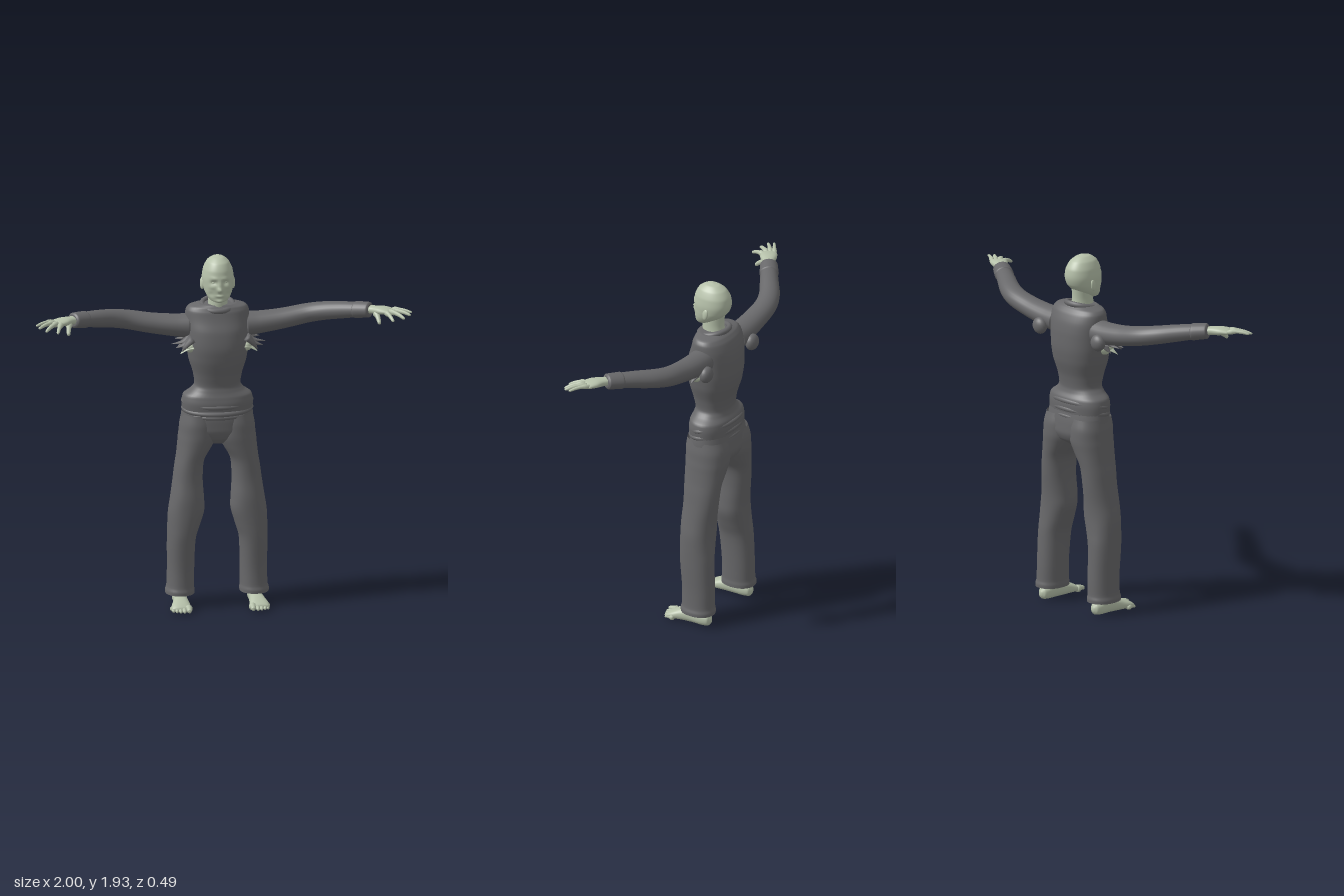
import * as THREE from 'three';

const X = new THREE.Vector3(1, 0, 0), Y = new THREE.Vector3(0, 1, 0);

const skin = new THREE.MeshStandardMaterial({ color: 0xb6c1aa });
skin.name = 'pale skin';
const cloth = new THREE.MeshStandardMaterial({ color: 0x68686a, side: THREE.DoubleSide });
cloth.name = 'grey cloth';

// Smooth skin over oval rings: each section is [x, y, z, radius along ref, radius across].
function loft(sections, ref, { seg = 24, steps = 24, power = 2, caps = true, axis = null } = {}) {
  const path = new THREE.CatmullRomCurve3(sections.map(s => new THREE.Vector3(s[0], s[1], s[2])));
  const radii = new THREE.CatmullRomCurve3(sections.map(s => new THREE.Vector3(s[3], s[4], 0)));
  const pos = [], idx = [], e = 2 / power;
  const bend = c => Math.sign(c) * Math.pow(Math.abs(c), e);
  for (let i = 0; i <= steps; i++) {
    const k = i / steps, p = path.getPoint(k), r = radii.getPoint(k);
    const t = axis || path.getTangent(k);
    const v = t.clone().cross(ref).normalize(), u = v.clone().cross(t).normalize();
    for (let j = 0; j < seg; j++) {
      const a = j / seg * Math.PI * 2;
      const q = p.clone().addScaledVector(u, r.x * bend(Math.cos(a))).addScaledVector(v, r.y * bend(Math.sin(a)));
      pos.push(q.x, q.y, q.z);
      if (i < steps) {
        const m = i * seg + j, n = i * seg + (j + 1) % seg;
        idx.push(m, n, m + seg, n, n + seg, m + seg);
      }
    }
  }
  if (caps) {
    const c = pos.length / 3, last = steps * seg;
    for (const k of [0, 1]) pos.push(...path.getPoint(k).toArray());
    for (let j = 0; j < seg; j++) {
      const n = (j + 1) % seg;
      idx.push(c, n, j, c + 1, last + j, last + n);
    }
  }
  const g = new THREE.BufferGeometry();
  g.setAttribute('position', new THREE.Float32BufferAttribute(pos, 3));
  g.setIndex(idx);
  g.computeVertexNormals();
  return g;
}

// Upright form from rows of [y, left x, right x, front z, back z].
const upright = (rows, opts) => loft(
  rows.map(([y, a, b, f, k]) => [(a + b) / 2, y, (f + k) / 2, (b - a) / 2, (f - k) / 2]), X, { axis: Y, ...opts });
const centred = rows => rows.map(([y, r, f, k]) => [y, -r, r, f, k]);

// Closed cloth roll around the body; drop lowers its front and lifts its back.
function roll(y, rx, front, back, r, drop) {
  const pts = [];
  for (let i = 0; i < 24; i++) {
    const a = i / 24 * Math.PI * 2;
    pts.push(new THREE.Vector3(rx * Math.cos(a), y - drop * Math.sin(a),
      (front + back) / 2 + (front - back) / 2 * Math.sin(a)));
  }
  return new THREE.TubeGeometry(new THREE.CatmullRomCurve3(pts, true), 72, r, 10, true);
}

// Tapered digit with a raised middle joint and a rounded tip.
function digit(a, b, r, lift) {
  const at = (k, up, w) => [...a.map((v, i) => v + (b[i] - v) * k + (i === 1 ? up : 0)), r * w, r * w];
  return loft([at(0, 0, 1), at(0.35, lift, 1), at(0.7, lift * 0.8, 0.85), at(0.94, 0, 0.65), at(1, 0, 0.15)],
    Y, { seg: 10, steps: 14 });
}

function headGeometry() {
  const g = upright(centred([
    [1.925, 0.004, -0.08, -0.09], [1.918, 0.03, -0.045, -0.125], [1.895, 0.058, -0.01, -0.162],
    [1.855, 0.077, 0.01, -0.187], [1.81, 0.084, 0.016, -0.191], [1.77, 0.081, 0.015, -0.178],
    [1.74, 0.074, 0.013, -0.15], [1.715, 0.062, 0.01, -0.115], [1.695, 0.045, 0.004, -0.08],
    [1.682, 0.012, -0.015, -0.045]]).reverse(), { seg: 72, steps: 64, power: 2.15 });
  // Face relief: [x, y, spread x, spread y, push forward]
  const relief = [[0, 1.76, 0.011, 0.013, 0.02], [0, 1.785, 0.009, 0.022, 0.01], [0.031, 1.799, 0.016, 0.011, -0.012],
    [0.028, 1.822, 0.022, 0.008, 0.004], [0, 1.726, 0.02, 0.007, 0.008], [0, 1.695, 0.022, 0.012, 0.01],
    [0.045, 1.775, 0.014, 0.01, 0.004], [0.045, 1.735, 0.014, 0.014, -0.005]];
  const p = g.attributes.position;
  for (let i = 0; i < p.count; i++) {
    if (p.getZ(i) < -0.06) continue;
    let z = p.getZ(i);
    for (const [x, y, sx, sy, d] of relief)
      z += d * Math.exp(-(((Math.abs(p.getX(i)) - x) / sx) ** 2) - ((p.getY(i) - y) / sy) ** 2);
    p.setZ(i, z);
  }
  g.computeVertexNormals();
  return g;
}

export function createModel() {
  const model = new THREE.Group();
  model.name = 'figure';
  const add = (name, geometry, material) => {
    const mesh = new THREE.Mesh(geometry, material);
    mesh.name = name;
    model.add(mesh);
    return mesh;
  };
  const ball = (name, material, at, size) => {
    const m = add(name, new THREE.SphereGeometry(1, 20, 14), material);
    m.position.set(...at);
    m.scale.set(...size);
    return m;
  };

  // Head and neck
  add('head', headGeometry(), skin);
  add('neck', upright(centred([[1.59, 0.075, -0.03, -0.17], [1.64, 0.055, -0.03, -0.158],
    [1.69, 0.05, -0.03, -0.152], [1.75, 0.05, -0.04, -0.155]])), skin);

  // Shirt with pinched waist, collar and bunched hem
  add('shirt', upright(centred([
    [1.075, 0.186, 0, -0.225], [1.12, 0.189, 0.004, -0.225], [1.16, 0.182, -0.002, -0.218],
    [1.188, 0.145, -0.01, -0.203], [1.22, 0.122, -0.013, -0.198], [1.28, 0.13, 0, -0.207],
    [1.36, 0.154, 0.02, -0.23], [1.44, 0.165, 0.028, -0.24], [1.52, 0.168, 0.018, -0.238],
    [1.58, 0.17, -0.003, -0.228], [1.625, 0.167, -0.015, -0.21], [1.648, 0.15, -0.025, -0.192],
    [1.662, 0.095, -0.035, -0.175]]), { seg: 48, steps: 60, power: 2.3 }), cloth);
  add('collar', roll(1.652, 0.082, -0.02, -0.175, 0.015, 0.018), cloth);
  add('hemFold', roll(1.125, 0.178, -0.005, -0.214, 0.014, 0.018), cloth);
  add('waistRoll', roll(1.085, 0.177, -0.002, -0.215, 0.015, 0.015), cloth);
  add('waistband', roll(1.057, 0.178, -0.003, -0.219, 0.012, 0.006), cloth);

  // Seat of the trousers
  add('trouserSeat', upright(centred([
    [0.895, 0.05, -0.06, -0.17], [0.93, 0.14, -0.02, -0.222], [0.98, 0.19, -0.002, -0.238],
    [1.03, 0.192, 0, -0.234], [1.1, 0.184, -0.004, -0.222]]), { seg: 40, power: 2.3 }), cloth);

  for (const s of [1, -1]) {
    const side = s > 0 ? 'left' : 'right';
    const flip = rows => rows.map(([x, ...rest]) => [s * x, ...rest]);
    const m = ([x, y, z]) => [s * x, y, z];

    // Ear and eye
    const ear = ball(side + 'Ear', skin, [s * 0.083, 1.772, -0.092], [0.01, 0.032, 0.019]);
    ear.rotation.set(-0.2, s * -0.3, 0);
    ball(side + 'Eye', skin, [s * 0.031, 1.799, -0.009], [0.013, 0.009, 0.011]);

    // Trouser leg, open at the cuff
    const leg = [[0.07, 0.12, 0.275, -0.028, -0.218], [0.085, 0.12, 0.275, -0.027, -0.219],
      [0.11, 0.123, 0.268, -0.032, -0.214], [0.2, 0.122, 0.265, -0.032, -0.213],
      [0.37, 0.115, 0.266, -0.018, -0.206], [0.45, 0.092, 0.265, -0.014, -0.2],
      [0.53, 0.07, 0.261, -0.012, -0.197], [0.6, 0.072, 0.25, -0.012, -0.2],
      [0.7, 0.078, 0.235, -0.018, -0.212], [0.8, 0.07, 0.221, -0.015, -0.222],
      [0.88, 0.027, 0.211, -0.007, -0.234], [0.94, 0, 0.205, -0.002, -0.242],
      [1.0, 0, 0.199, -0.001, -0.241], [1.06, 0.005, 0.187, -0.008, -0.226]];
    add(side + 'TrouserLeg', upright(leg.map(([y, a, b, f, k]) => s > 0 ? [y, a, b, f, k] : [y, -b, -a, f, k]),
      { seg: 32, steps: 60, power: 2.2, caps: false }), cloth);

    // Bare foot with ankle and five toes
    add(side + 'Ankle', upright([[0.02, s * 0.2 - 0.03, s * 0.2 + 0.03, -0.1, -0.195],
      [0.07, s * 0.2 - 0.036, s * 0.2 + 0.036, -0.085, -0.188],
      [0.16, s * 0.2 - 0.038, s * 0.2 + 0.038, -0.085, -0.18]]), skin);
    add(side + 'Foot', loft(flip([[0.2, 0.034, -0.206, 0.008, 0.01], [0.2, 0.034, -0.193, 0.028, 0.03],
      [0.2, 0.037, -0.15, 0.036, 0.037], [0.2, 0.038, -0.09, 0.036, 0.038], [0.203, 0.033, -0.03, 0.043, 0.033],
      [0.207, 0.025, 0.015, 0.052, 0.023], [0.207, 0.018, 0.042, 0.05, 0.015], [0.207, 0.016, 0.05, 0.03, 0.006]]),
      X, { power: 2.3, steps: 30 }), skin);
    [[0.17, 0.08, 0.016], [0.195, 0.078, 0.012], [0.215, 0.072, 0.011], [0.234, 0.063, 0.011], [0.251, 0.052, 0.011]]
      .forEach(([x, z, r], i) => add(`${side}Toe${i + 1}`,
        digit([s * x, r + 0.003, z - 0.055], [s * x, r, z], r, 0.004), skin));

    // Sleeve bending forward at the elbow, with a rolled cuff
    add(side + 'Sleeve', loft(flip([[0.15, 1.535, -0.115, 0.066, 0.072], [0.22, 1.54, -0.116, 0.06, 0.07],
      [0.35, 1.557, -0.115, 0.054, 0.065], [0.48, 1.583, -0.108, 0.051, 0.06], [0.56, 1.6, -0.079, 0.049, 0.056],
      [0.66, 1.62, -0.015, 0.045, 0.05], [0.75, 1.635, 0.045, 0.038, 0.044], [0.78, 1.638, 0.064, 0.034, 0.04]]),
      Y, { steps: 48 }), cloth);
    add(side + 'Cuff', loft(flip([[0.713, 1.63, 0.02, 0.036, 0.042], [0.722, 1.631, 0.026, 0.045, 0.051],
      [0.755, 1.636, 0.048, 0.043, 0.049], [0.785, 1.64, 0.068, 0.041, 0.047], [0.793, 1.641, 0.073, 0.03, 0.036]]),
      Y, { steps: 20 }), cloth);
    ball(side + 'ShoulderBunch', cloth, [s * 0.222, 1.505, -0.19], [0.045, 0.045, 0.033]);

    // Hand
    add(side + 'Palm', loft(flip([[0.77, 1.64, 0.06, 0.022, 0.027], [0.81, 1.645, 0.086, 0.021, 0.032],
      [0.85, 1.648, 0.112, 0.02, 0.045], [0.885, 1.647, 0.133, 0.015, 0.044], [0.9, 1.645, 0.142, 0.007, 0.03]]),
      Y, { power: 2.3 }), skin);
    [['Thumb', [0.815, 1.635, 0.105], [0.828, 1.592, 0.18], 0.014],
      ['IndexFinger', [0.862, 1.645, 0.148], [0.893, 1.622, 0.243], 0.0115],
      ['MiddleFinger', [0.878, 1.648, 0.14], [0.955, 1.63, 0.23], 0.012],
      ['RingFinger', [0.89, 1.648, 0.125], [0.99, 1.642, 0.205], 0.011],
      ['LittleFinger', [0.895, 1.648, 0.105], [1.0, 1.648, 0.173], 0.0095]]
      .forEach(([name, a, b, r]) => add(side + name, digit(m(a), m(b), r, 0.007), skin));

    // Torn underarm: bare skin below ragged cloth points
    ball(side + 'Underarm', skin, [s * 0.148, 1.435, -0.07], [0.034, 0.034, 0.05]);
    add(side + 'SkinFlap', loft(flip([[0.14, 1.435, -0.05, 0.008, 0.04], [0.17, 1.428, -0.045, 0.005, 0.025],
      [0.205, 1.405, -0.03, 0.001, 0.002]]), Y, { seg: 10 }), skin);
    [[0.25, 1.452, -0.06], [0.232, 1.443, -0.015], [0.215, 1.425, -0.09], [0.225, 1.468, -0.11], [0.2, 1.425, 0.0]]
      .forEach(([x, y, z], i) => add(`${side}TornPoint${i + 1}`, loft(flip([[0.145, 1.49, z - 0.01, 0.02, 0.035],
        [0.185, (y + 1.49) / 2 - 0.008, z - 0.004, 0.011, 0.02], [x, y, z, 0.001, 0.002]]), Y, { seg: 10, steps: 10 }), cloth));
  }
  return model;
}
